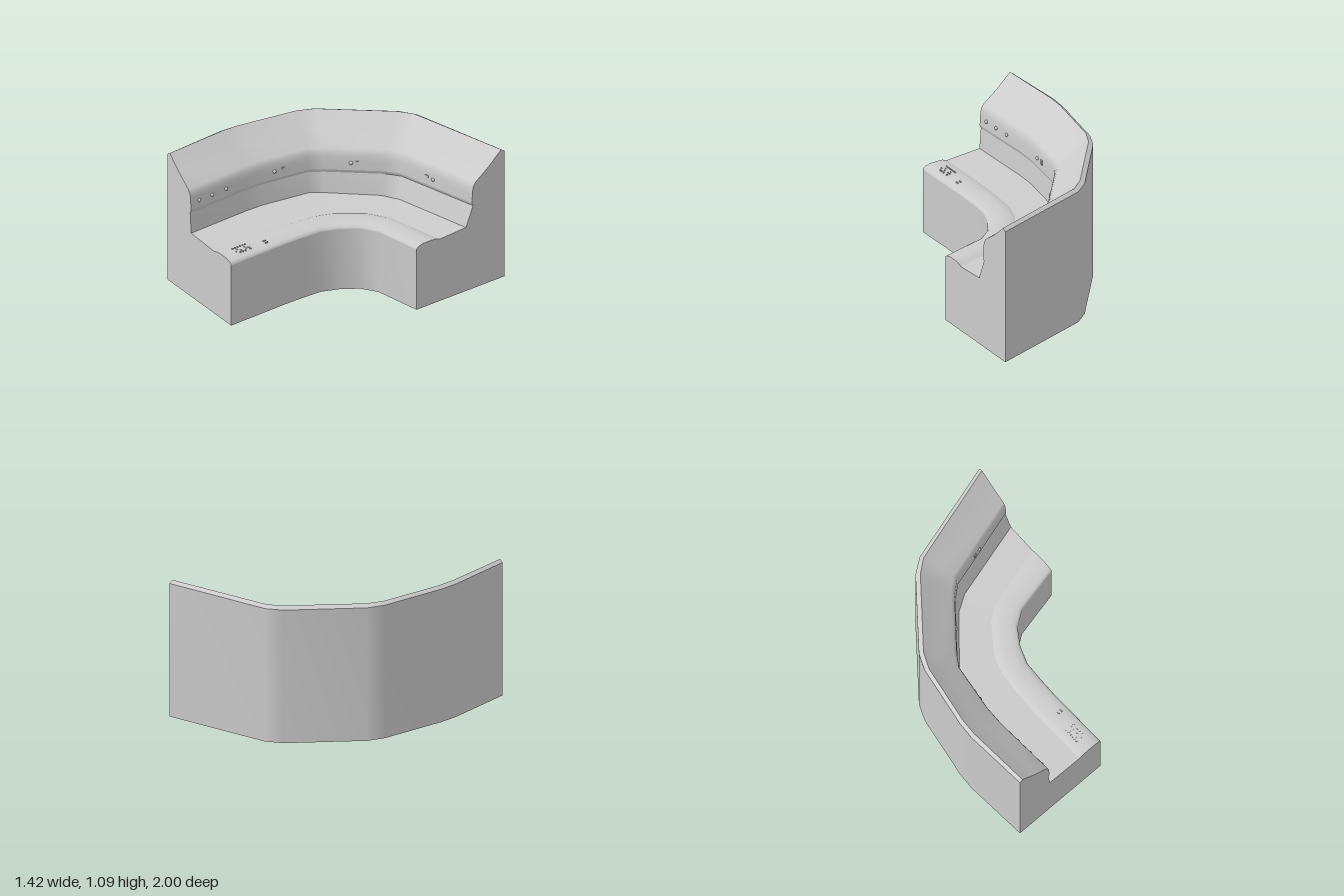
import * as THREE from 'three';

const material = new THREE.MeshStandardMaterial({ color: 0xcccccc });

// Plan paths [x, z] of the main edges, all with the same eight stations round the bend
const rails = {
  outer: [[-0.685, 1], [-0.715, 0.505], [-0.705, 0.37], [-0.62, -0.11], [-0.567, -0.23], [-0.18, -0.70], [-0.07, -0.78], [0.71, -1]],
  crest: [[-0.66, 1], [-0.685, 0.505], [-0.677, 0.37], [-0.595, -0.09], [-0.54, -0.21], [-0.155, -0.675], [-0.055, -0.752], [0.71, -0.972]],
  wall: [[-0.397, 1], [-0.418, 0.505], [-0.413, 0.35], [-0.357, -0.02], [-0.295, -0.115], [-0.015, -0.45], [0.08, -0.53], [0.71, -0.71]],
  seatBack: [[-0.395, 1], [-0.41, 0.505], [-0.405, 0.35], [-0.345, -0.02], [-0.285, -0.105], [-0.01, -0.418], [0.115, -0.495], [0.71, -0.657]],
  seam: [[-0.108, 1], [-0.115, 0.505], [-0.108, 0.35], [-0.088, 0.135], [-0.04, 0], [0.12, -0.215], [0.245, -0.30], [0.71, -0.42]],
  front: [[0.098, 1], [0.09, 0.505], [0.093, 0.37], [0.103, 0.2], [0.155, 0.065], [0.235, -0.055], [0.35, -0.135], [0.71, -0.215]],
};
const STATIONS = rails.outer.length;

// Cross-section strips; each point is [from rail, to rail, blend, height].
// Neighbouring strips share an end point, which keeps a hard edge between them.
const strips = {
  outerFace: [['outer', 'outer', 0, 0], ['outer', 'outer', 0, 1.07]],
  topBevel: [['outer', 'outer', 0, 1.07], ['outer', 'crest', 1, 1.09]],
  backrest: [['outer', 'crest', 1, 1.09], ['crest', 'wall', 0.45, 0.98], ['crest', 'wall', 0.88, 0.895],
    ['crest', 'wall', 0.94, 0.868], ['crest', 'wall', 0.975, 0.835], ['crest', 'wall', 0.985, 0.79], ['crest', 'wall', 1, 0.73]],
  ledgeUnderside: [['crest', 'wall', 1, 0.73], ['crest', 'wall', 0.96, 0.703]],
  lumbarWall: [['crest', 'wall', 0.96, 0.703], ['seatBack', 'seatBack', 0, 0.54]],
  seat: [['seatBack', 'seatBack', 0, 0.54], ['seatBack', 'seam', 1, 0.527]],
  seatLip: [['seatBack', 'seam', 1, 0.527], ['seam', 'front', 0.17, 0.542], ['seam', 'front', 0.4, 0.545],
    ['seam', 'front', 0.7, 0.544], ['seam', 'front', 0.9, 0.534], ['seam', 'front', 0.975, 0.525], ['seam', 'front', 1, 0.512]],
  frontFace: [['seam', 'front', 1, 0.512], ['front', 'front', 0, 0]],
  underside: [['front', 'front', 0, 0], ['outer', 'outer', 0, 0]],
};

function pointAt([a, b, t, y], station) {
  const [ax, az] = rails[a][station], [bx, bz] = rails[b][station];
  return [ax + (bx - ax) * t, y, az + (bz - az) * t];
}

function makeGeometry(positions, index) {
  const g = new THREE.BufferGeometry();
  g.setAttribute('position', new THREE.Float32BufferAttribute(positions, 3));
  g.setIndex(index);
  g.computeVertexNormals();
  return g;
}

// Loft one strip of the cross-section along all stations
function loft(profile) {
  const positions = [], index = [];
  for (let j = 0; j < STATIONS; j++) {
    profile.forEach((p, i) => {
      positions.push(...pointAt(p, j));
      if (j === STATIONS - 1 || i === profile.length - 1) return;
      const a = j * profile.length + i, b = a + profile.length;
      index.push(a, a + 1, b + 1, a, b + 1, b);
    });
  }
  return makeGeometry(positions, index);
}

// Flat end of the bench at the first or last station
function endCap(station) {
  const section = Object.values(strips).flatMap((s) => s.slice(0, -1)).map((p) => pointAt(p, station));
  const flat = section.map(([x, y, z]) => new THREE.Vector2(station === 0 ? x : -z, y));
  return makeGeometry(section.flat(), THREE.ShapeUtils.triangulateShape(flat, []).flat());
}

export function createModel() {
  const model = new THREE.Group();
  model.name = 'curvedBench';

  function add(name, geometry, parent = model) {
    const mesh = new THREE.Mesh(geometry, material);
    mesh.name = name;
    parent.add(mesh);
    return mesh;
  }

  // Bench body
  for (const [name, profile] of Object.entries(strips)) add(name, loft(profile));
  add('frontEnd', endCap(0));
  add('sideEnd', endCap(STATIONS - 1));

  // Round knobs and small plates on the backrest: [segment, knob blends, plate blends]
  const knob = new THREE.SphereGeometry(0.014, 14, 10);
  const plate = new THREE.BoxGeometry(0.024, 0.036, 0.012);
  const fittings = [[0, [0.16, 0.40, 0.66], []], [2, [0.27], [0.46]], [4, [0.45], [0.55]], [6, [0.45], [0.365]]];
  const controls = new THREE.Group();
  controls.name = 'backrestControls';
  model.add(controls);
  for (const [segment, knobs, plates] of fittings) {
    const from = new THREE.Vector3(...pointAt(['crest', 'wall', 0.985, 0.79], segment));
    const to = new THREE.Vector3(...pointAt(['crest', 'wall', 0.985, 0.79], segment + 1));
    const angle = Math.atan2(from.z - to.z, to.x - from.x);
    const place = (name, geometry) => (t) => {
      const mesh = add(name, geometry, controls);
      mesh.position.lerpVectors(from, to, t);
      mesh.rotation.y = angle;
    };
    knobs.forEach(place('knob', knob));
    plates.forEach(place('plate', plate));
  }

  // Raised studs and two bars on the seat lip
  const studs = new THREE.Group();
  studs.name = 'seatStuds';
  model.add(studs);
  const stud = new THREE.CylinderGeometry(0.007, 0.007, 0.008, 10);
  const rows = ['1.11', '111.', '1..1', '1.11', '11.1', '1.1.'];
  rows.forEach((row, r) => [...row].forEach((c, k) => {
    if (c === '1') add('stud', stud, studs).position.set(-0.037 + k * 0.023, 0.546, 0.78 + r * 0.022);
  }));
  const bar = new THREE.BoxGeometry(0.008, 0.01, 0.022);
  for (const x of [0.01, 0.036]) add('bar', bar, studs).position.set(x, 0.546, 0.64);

  return model;
}
